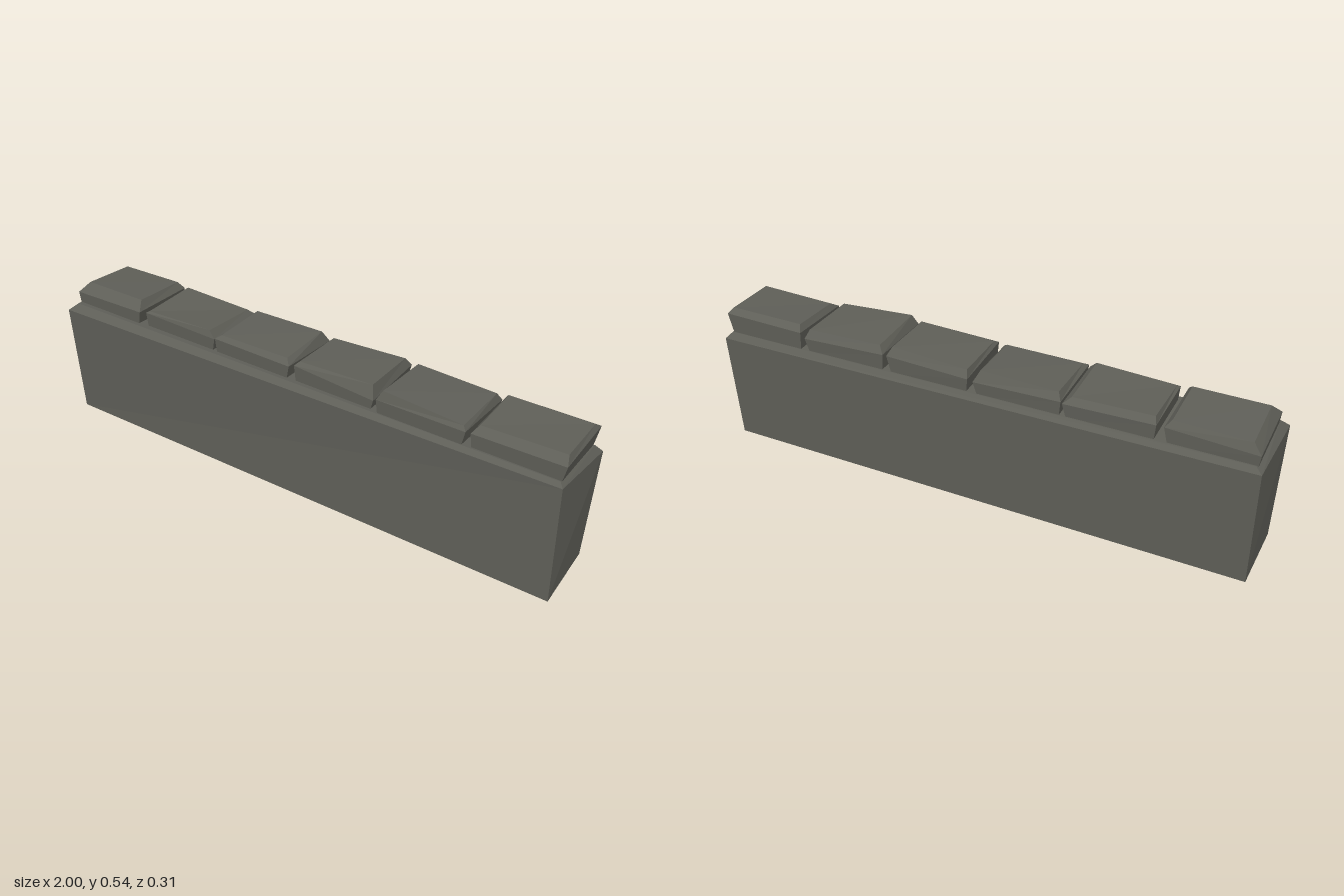
import * as THREE from 'three';

// Solid from stacked four-cornered loops (front-left, front-right, back-right, back-left as seen from the front)
function stack(loops) {
  const pos = [];
  const tri = (a, b, c) => pos.push(...a, ...b, ...c);
  const quad = (a, b, c, d) => { tri(a, b, c); tri(a, c, d); };
  for (let k = 0; k < loops.length - 1; k++) {
    for (let i = 0; i < 4; i++) {
      const j = (i + 1) % 4;
      quad(loops[k][i], loops[k][j], loops[k + 1][j], loops[k + 1][i]);
    }
  }
  quad(...loops[loops.length - 1]);
  quad(...[...loops[0]].reverse());
  const g = new THREE.BufferGeometry();
  g.setAttribute('position', new THREE.Float32BufferAttribute(pos, 3));
  g.computeVertexNormals();
  return g;
}

// Loop from an x range, a z range and the four corner heights
const loop = (x0, x1, zf, zb, [a, b, c, d]) => [[x0, a, zf], [x1, b, zf], [x1, c, zb], [x0, d, zb]];

// Capstones: shoulder x0, x1, zFront, zBack | shoulder heights | top insets left, right, front, back | top heights
const STONES = [
  [[-0.975, -0.67, 0.115, -0.135], [0.5, 0.505, 0.5, 0.485], [0.03, 0.02, 0.035, 0.015], [0.535, 0.535, 0.525, 0.52]],
  [[-0.645, -0.33, 0.108, -0.135], [0.508, 0.5, 0.49, 0.5], [0.01, 0.025, 0.008, 0.02], [0.514, 0.525, 0.512, 0.52]],
  [[-0.325, -0.01, 0.11, -0.135], [0.505, 0.5, 0.485, 0.495], [0.015, 0.02, 0.02, 0.02], [0.515, 0.518, 0.525, 0.52]],
  [[0.01, 0.32, 0.108, -0.135], [0.51, 0.485, 0.5, 0.49], [0.01, 0.015, 0.02, 0.02], [0.52, 0.53, 0.53, 0.515]],
  [[0.335, 0.655, 0.117, -0.135], [0.5, 0.5, 0.485, 0.5], [0.02, 0.012, 0.01, 0.02], [0.535, 0.515, 0.515, 0.525]],
  [[0.67, 0.985, 0.112, -0.137], [0.498, 0.502, 0.51, 0.505], [0.015, 0.012, 0.03, 0.025], [0.518, 0.526, 0.526, 0.525]],
];

export function createModel() {
  const model = new THREE.Group();
  model.name = 'stoneWall';
  const stone = new THREE.MeshStandardMaterial({ color: 0x5e5e57, flatShading: true });
  stone.name = 'dark stone';

  const add = (name, loops) => {
    const mesh = new THREE.Mesh(stack(loops), stone);
    mesh.name = name;
    model.add(mesh);
  };

  // Wall body flares slightly upward, then bevels in to a ledge
  add('wallBody', [
    [[-0.995, 0, 0.133], [0.995, 0, 0.131], [0.985, 0, -0.139], [-0.99, 0, -0.139]],
    [[-1, 0.433, 0.155], [0.985, 0.434, 0.128], [0.998, 0.412, -0.153], [-0.988, 0.432, -0.155]],
    [[-0.97, 0.459, 0.13], [0.97, 0.446, 0.113], [0.975, 0.436, -0.135], [-0.965, 0.447, -0.137]],
  ]);

  // Row of uneven capstones, each narrowing a little toward its foot
  STONES.forEach(([[x0, x1, zf, zb], shoulder, [l, r, f, b], top], i) => {
    add('capstone' + (i + 1), [
      loop(x0 + 0.006, x1 - 0.015, zf - 0.004, zb + 0.004, [0.432, 0.432, 0.432, 0.432]),
      loop(x0, x1, zf, zb, shoulder),
      loop(x0 + l, x1 - r, zf - f, zb + b, top),
    ]);
  });
  return model;
}
